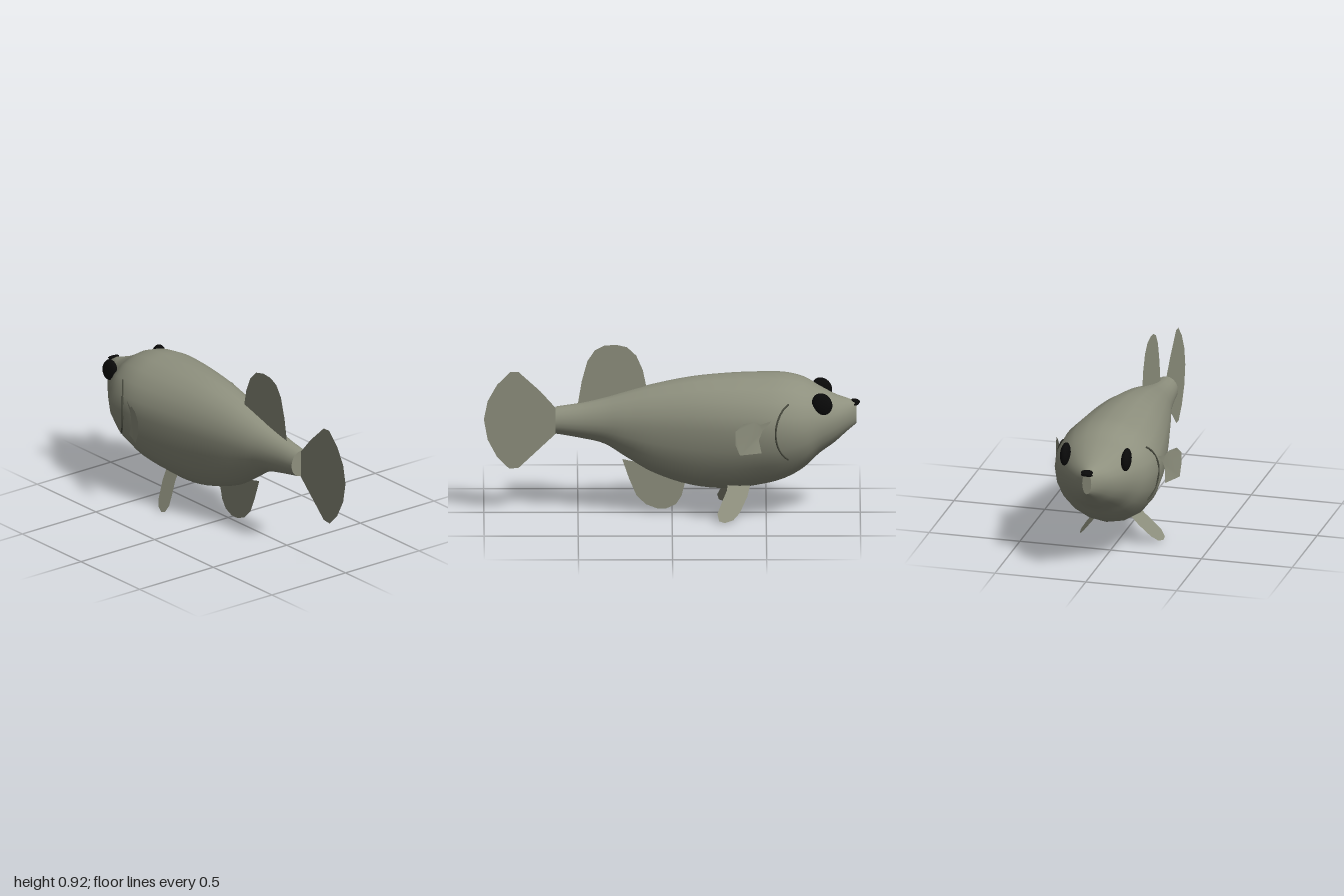
import * as THREE from 'three';

const skin = new THREE.MeshStandardMaterial({ color: 0x8e907e, side: THREE.DoubleSide });
skin.name = 'olive grey skin';
const black = new THREE.MeshStandardMaterial({ color: 0x0a0a0a });
black.name = 'black';
const dark = new THREE.MeshStandardMaterial({ color: 0x4a4c40 });
dark.name = 'dark gill line';

// Body stations from snout to tail root: x, top, widest height, bottom, half width
const STATIONS = [
  [-0.98, 0.61, 0.55, 0.49, 0.025],
  [-0.92, 0.63, 0.54, 0.44, 0.085],
  [-0.86, 0.65, 0.53, 0.387, 0.135],
  [-0.78, 0.692, 0.52, 0.33, 0.195],
  [-0.7, 0.738, 0.51, 0.255, 0.25],
  [-0.6, 0.762, 0.505, 0.197, 0.276],
  [-0.48, 0.765, 0.505, 0.162, 0.277],
  [-0.3, 0.76, 0.505, 0.135, 0.25],
  [-0.1, 0.742, 0.505, 0.152, 0.21],
  [0.1, 0.703, 0.505, 0.22, 0.165],
  [0.25, 0.662, 0.505, 0.31, 0.128],
  [0.36, 0.63, 0.505, 0.38, 0.1],
  [0.48, 0.602, 0.505, 0.41, 0.078],
  [0.62, 0.58, 0.507, 0.435, 0.064],
];
const curves = [1, 2, 3, 4].map(k => new THREE.SplineCurve(STATIONS.map(s => new THREE.Vector2(s[0], s[k]))));
const RINGS = 52, SIDES = 20;
const rings = Array.from({ length: RINGS + 1 }, (_, i) => {
  const p = curves.map(c => c.getPoint(i / RINGS));
  return { x: p[0].x, top: p[0].y, mid: p[1].y, bottom: p[2].y, half: p[3].y };
});

function ringPoint(r, j) {
  const a = (j / SIDES) * Math.PI * 2, s = Math.sin(a);
  return [r.x, r.mid + s * (s > 0 ? r.top - r.mid : r.mid - r.bottom), Math.cos(a) * r.half];
}

// Half depth of the body at a given x and y
function flankZ(x, y) {
  const i = Math.max(1, rings.findIndex(r => r.x >= x));
  const a = rings[i - 1], b = rings[i], t = (x - a.x) / (b.x - a.x);
  const at = k => THREE.MathUtils.lerp(a[k], b[k], t);
  const d = (y - at('mid')) / (y > at('mid') ? at('top') - at('mid') : at('mid') - at('bottom'));
  return at('half') * Math.sqrt(Math.max(0, 1 - d * d));
}

function bodyGeometry() {
  const pos = [], index = [];
  for (const r of rings) for (let j = 0; j < SIDES; j++) pos.push(...ringPoint(r, j));
  for (let i = 0; i < RINGS; i++) for (let j = 0; j < SIDES; j++) {
    const k = (j + 1) % SIDES, a = i * SIDES, b = a + SIDES;
    index.push(a + j, b + j, b + k, a + j, b + k, a + k);
  }
  // Flat caps with their own vertices for a sharp rim
  for (const [r, snout] of [[rings[0], true], [rings[RINGS], false]]) {
    const c = pos.length / 3;
    pos.push(r.x, r.mid, 0);
    for (let j = 0; j < SIDES; j++) pos.push(...ringPoint(r, j));
    for (let j = 0; j < SIDES; j++) {
      const p = c + 1 + j, q = c + 1 + (j + 1) % SIDES;
      index.push(c, ...(snout ? [p, q] : [q, p]));
    }
  }
  const g = new THREE.BufferGeometry();
  g.setAttribute('position', new THREE.Float32BufferAttribute(pos, 3));
  g.setIndex(index);
  g.computeVertexNormals();
  return g;
}

// Thin fin from a front outline; depth(x, y) bends it out of the plane
function finGeometry(outline, depth = () => 0) {
  const g = new THREE.ShapeGeometry(new THREE.Shape(outline.map(p => new THREE.Vector2(...p))));
  const p = g.attributes.position;
  for (let i = 0; i < p.count; i++) p.setZ(i, depth(p.getX(i), p.getY(i)));
  g.computeVertexNormals();
  return g;
}

const TAIL = [[0.6, 0.44], [0.62, 0.43], [0.72, 0.335], [0.815, 0.245], [0.865, 0.24], [0.93, 0.305], [0.98, 0.4],
  [1, 0.51], [0.98, 0.61], [0.93, 0.7], [0.86, 0.77], [0.815, 0.77], [0.7, 0.665], [0.62, 0.575], [0.6, 0.56]];
const DORSAL = [[0.14, 0.6], [0.48, 0.55], [0.5, 0.6], [0.48, 0.72], [0.45, 0.83], [0.41, 0.89], [0.36, 0.915],
  [0.3, 0.92], [0.24, 0.907], [0.19, 0.86], [0.155, 0.78], [0.135, 0.68]];
const ANAL = [[-0.06, 0.22], [-0.068, 0.16], [-0.05, 0.09], [-0.02, 0.045], [0.03, 0.022], [0.08, 0.022], [0.14, 0.045],
  [0.19, 0.095], [0.23, 0.19], [0.265, 0.293], [0.17, 0.272], [0.12, 0.3]];
const PELVIC = [[-0.42, 0.19], [-0.4, 0.12], [-0.36, 0.045], [-0.325, 0.012], [-0.28, 0], [-0.25, 0.01],
  [-0.24, 0.045], [-0.265, 0.1], [-0.29, 0.15], [-0.3, 0.2]];
const PECTORAL = [[-0.53, 0.57], [-0.48, 0.52], [-0.46, 0.47], [-0.475, 0.4], [-0.36, 0.4], [-0.335, 0.46],
  [-0.335, 0.53], [-0.38, 0.57], [-0.44, 0.575], [-0.47, 0.555]];

export function createModel() {
  const fish = new THREE.Group();
  fish.name = 'fish';
  const add = (name, geometry, material) => {
    const m = new THREE.Mesh(geometry, material);
    m.name = name;
    fish.add(m);
    return m;
  };

  add('body', bodyGeometry(), skin);
  add('tailFin', finGeometry(TAIL), skin);
  add('dorsalFin', finGeometry(DORSAL), skin);
  add('analFin', finGeometry(ANAL), skin);

  // Paired parts on both flanks
  for (const [label, s] of [['left', 1], ['right', -1]]) {
    add(label + 'PelvicFin', finGeometry(PELVIC, (x, y) =>
      s * (0.1 + (0.17 - y) * 0.78 + 0.2 * (x + 0.27 + 0.55 * y))), skin);
    add(label + 'PectoralFin', finGeometry(PECTORAL, (x, y) =>
      s * (0.272 + 0.43 * (x + 0.5) + 1.2 * (y - 0.49) ** 2)), skin);

    const eye = add(label + 'Eye', new THREE.SphereGeometry(1, 16, 12), black);
    eye.scale.set(0.052, 0.062, 0.026);
    eye.position.set(-0.797, 0.637, s * 0.168);
    eye.rotation.z = -0.5;

    // Gill slit following the flank
    const arc = [];
    for (let i = 0; i <= 12; i++) {
      const a = (i / 12 - 0.5) * 2.3;
      const x = -0.665 + 0.115 * Math.cos(a), y = 0.5 + 0.165 * Math.sin(a);
      arc.push(new THREE.Vector3(x, y, s * flankZ(x, y)));
    }
    add(label + 'GillSlit', new THREE.TubeGeometry(new THREE.CatmullRomCurve3(arc), 32, 0.005, 6), dark);
  }

  // Small parted lips on the snout
  for (const [name, y, tilt, rx] of [['upperLip', 0.612, 0.25, 0.024], ['lowerLip', 0.597, -0.25, 0.02]]) {
    const lip = add(name, new THREE.SphereGeometry(1, 12, 8), black);
    lip.scale.set(rx, 0.008, 0.034);
    lip.position.set(-0.976, y, 0);
    lip.rotation.z = tilt;
  }
  return fish;
}
